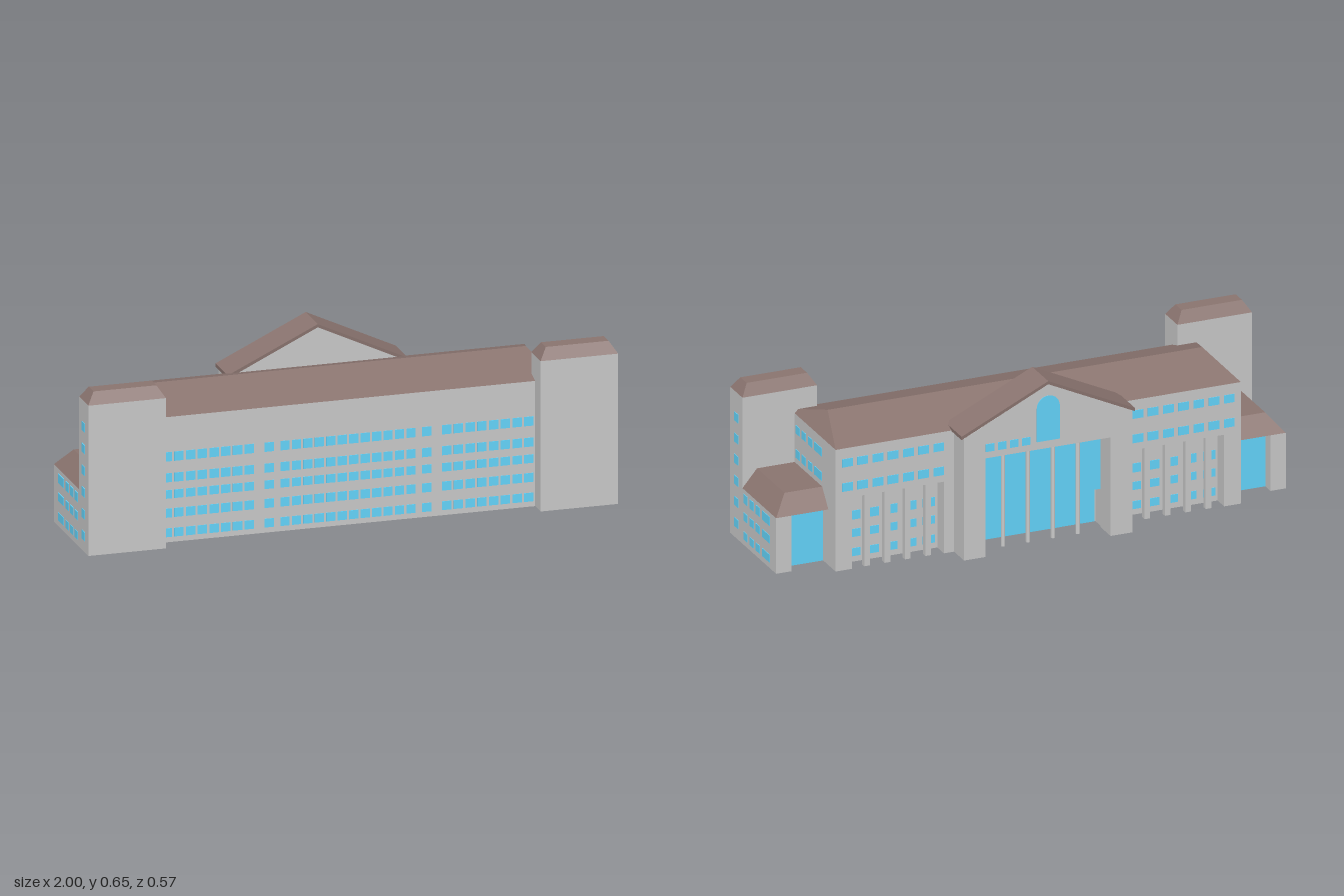
import * as THREE from 'three';

const wall = new THREE.MeshStandardMaterial({ color: 0xcccccc, flatShading: true });
const roofing = new THREE.MeshStandardMaterial({ color: 0x8b7570, flatShading: true });
const glass = new THREE.MeshStandardMaterial({ color: 0x66d8ff, flatShading: true });

function add(parent, name, geometry, material) {
  const mesh = new THREE.Mesh(geometry, material);
  mesh.name = name;
  parent.add(mesh);
  return mesh;
}

// Box from its limits on each axis (in any order)
function block(parent, name, material, [x0, x1], [y0, y1], [z0, z1]) {
  const g = new THREE.BoxGeometry(Math.abs(x1 - x0), Math.abs(y1 - y0), Math.abs(z1 - z0));
  g.translate((x0 + x1) / 2, (y0 + y1) / 2, (z0 + z1) / 2);
  return add(parent, name, g, material);
}

// Sloped roof: a box whose upper corners move to a smaller rectangle
function slopedRoof(parent, name, [y0, y1], bottomX, bottomZ, topX, topZ) {
  const g = new THREE.BoxGeometry(1, 1, 1).toNonIndexed();
  const p = g.attributes.position;
  const up = (a, b) => a - b;
  for (let i = 0; i < p.count; i++) {
    const top = p.getY(i) > 0;
    const xs = [...(top ? topX : bottomX)].sort(up);
    const zs = [...(top ? topZ : bottomZ)].sort(up);
    p.setXYZ(i, xs[p.getX(i) > 0 ? 1 : 0], top ? y1 : y0, zs[p.getZ(i) > 0 ? 1 : 0]);
  }
  g.computeVertexNormals();
  return add(parent, name, g, roofing);
}

function polygon(points) {
  return new THREE.Shape(points.map(([x, y]) => new THREE.Vector2(x, y)));
}

function extrude(parent, name, material, shape, z0, z1) {
  const g = new THREE.ExtrudeGeometry(shape, { depth: z1 - z0, bevelEnabled: false, curveSegments: 8 });
  g.translate(0, 0, z0);
  return add(parent, name, g, material);
}

const T = 0.002; // how far panes stand proud of the wall

// Window grid on a wall facing z
function windowsZ(parent, z, columns, rows) {
  for (const x of columns) for (const y of rows) block(parent, 'window', glass, x, y, [z - T, z + T]);
}

// Window grid on a wall facing x
function windowsX(parent, x, columns, rows) {
  for (const z of columns) for (const y of rows) block(parent, 'window', glass, [x - T, x + T], y, z);
}

// Evenly spaced spans between two limits
function spans(a, b, count, fill = 0.8) {
  const pitch = (b - a) / (count - 1 + fill);
  return Array.from({ length: count }, (_, i) => [a + i * pitch, a + (i + fill) * pitch]);
}

const LOW_ROWS = [[0.022, 0.053], [0.097, 0.128], [0.165, 0.2]];
const HIGH_ROWS = [[0.307, 0.34], [0.402, 0.434]];
const BACK = -0.195;
const CORE = -0.135;

function mainBlock(parent) {
  const g = new THREE.Group();
  g.name = 'mainBlock';
  parent.add(g);
  block(g, 'hall', wall, [-0.795, 0.795], [0, 0.475], [CORE, 0.222]);
  slopedRoof(g, 'hipRoof', [0.475, 0.54], [-0.795, 0.795], [BACK, 0.222], [-0.735, 0.735], [0.017, 0.017]);

  // Front windows in three wide bands with a single column between them
  const frontRows = [[0.02, 0.053], [0.094, 0.128], [0.166, 0.198], [0.228, 0.262], [0.307, 0.342]];
  const columns = [
    ...spans(-0.7, -0.355, 8), [-0.315, -0.28], ...spans(-0.255, 0.255, 12),
    [0.28, 0.315], ...spans(0.355, 0.7, 8),
  ];
  windowsZ(g, 0.222, columns, frontRows);

  // Rear upper floors over a recessed colonnade, on both sides of the portico
  for (const s of [-1, 1]) {
    const side = (list) => list.map(([a, b]) => [s * a, s * b]);
    block(g, 'rearUpperWall', wall, [s * 0.25, s * 0.795], [0.28, 0.475], [BACK, CORE]);
    block(g, 'cornerPier', wall, [s * 0.73, s * 0.795], [0, 0.28], [BACK, CORE]);
    block(g, 'innerPier', wall, [s * 0.25, s * 0.37], [0, 0.28], [BACK, CORE]);
    for (let i = 0; i < 4; i++) {
      const x = s * (0.43 + i * 0.08);
      block(g, 'colonnadePost', wall, [x - 0.011, x + 0.011], [0, 0.28], [BACK + 0.004, BACK + 0.026]);
    }
    windowsZ(g, CORE, side(spans(0.38, 0.72, 5, 0.65)), LOW_ROWS);
    windowsZ(g, BACK, side(spans(0.37, 0.77, 7, 0.7)), HIGH_ROWS);
  }
}

function portico(parent) {
  const g = new THREE.Group();
  g.name = 'rearPortico';
  parent.add(g);
  const zBack = -0.285;

  // Gabled front with a tall opening between two piers
  const front = polygon([
    [-0.33, 0], [-0.245, 0], [-0.245, 0.385], [0.245, 0.385], [0.245, 0],
    [0.33, 0], [0.33, 0.475], [0, 0.634], [-0.33, 0.475],
  ]);
  extrude(g, 'gableFront', wall, front, zBack, BACK);
  extrude(g, 'gable', wall, polygon([[-0.33, 0.475], [0.33, 0.475], [0, 0.634]]), BACK, -0.148);
  const roof = polygon([
    [-0.34, 0.472], [0, 0.634], [0.34, 0.472], [0.34, 0.485], [0, 0.646], [-0.34, 0.485],
  ]);
  extrude(g, 'gableRoof', roofing, roof, zBack - 0.001, -0.14);

  // Upper glazing overhangs the deeper entrance glazing
  block(g, 'upperGlazing', glass, [-0.245, 0.245], [0.15, 0.385], [BACK, CORE]);
  block(g, 'entranceGlazing', glass, [-0.245, 0.245], [0, 0.15], [CORE - T, CORE + T]);
  for (let i = 0; i < 4; i++) {
    const column = add(g, 'column', new THREE.CylinderGeometry(0.008, 0.008, 0.385, 10), wall);
    column.position.set(-0.147 + i * 0.098, 0.1925, -0.215);
  }

  // Arched gable window, with a row of small windows at one side
  const arch = new THREE.Shape();
  arch.moveTo(-0.045, 0.415);
  arch.lineTo(0.045, 0.415);
  arch.lineTo(0.045, 0.545);
  arch.absarc(0, 0.545, 0.045, 0, Math.PI, false);
  arch.closePath();
  extrude(g, 'archedWindow', glass, arch, zBack - T, zBack + T);
  windowsZ(g, zBack, spans(0.07, 0.245, 4, 0.7), [[0.41, 0.44]]);
}

function endWing(parent, s) {
  const g = new THREE.Group();
  g.name = s > 0 ? 'leftEnd' : 'rightEnd';
  parent.add(g);
  const columns = [[0.13, 0.164], [0.073, 0.108], [0.017, 0.052], [-0.073, -0.005]];

  // Front tower
  block(g, 'tower', wall, [s * 0.707, s], [0, 0.57], [0.176, 0.287]);
  slopedRoof(g, 'towerRoof', [0.57, 0.613], [s * 0.707, s], [0.176, 0.287], [s * 0.735, s * 0.972], [0.203, 0.26]);
  const towerRows = Array.from({ length: 6 }, (_, i) => [0.043 + i * 0.0825, 0.077 + i * 0.0825]);
  windowsX(g, s, [[0.213, 0.248]], towerRows);

  // Low side wing with a recessed glazed rear corner
  block(g, 'wing', wall, [s * 0.79, s], [0, 0.217], [-0.08, 0.18]);
  block(g, 'wingPier', wall, [s * 0.94, s], [0, 0.217], [-0.129, -0.08]);
  block(g, 'wingGlazing', glass, [s * 0.795, s * 0.94], [0, 0.217], [-0.08 - T, -0.08 + T]);
  slopedRoof(g, 'wingRoof', [0.217, 0.285], [s * 0.79, s], [-0.129, 0.178], [s * 0.79, s * 0.943], [-0.073, 0.178]);
  windowsX(g, s, columns, LOW_ROWS);
  windowsX(g, s * 0.795, columns, HIGH_ROWS);
}

export function createModel() {
  const model = new THREE.Group();
  model.name = 'building';
  mainBlock(model);
  portico(model);
  for (const s of [-1, 1]) endWing(model, s);
  return model;
}
